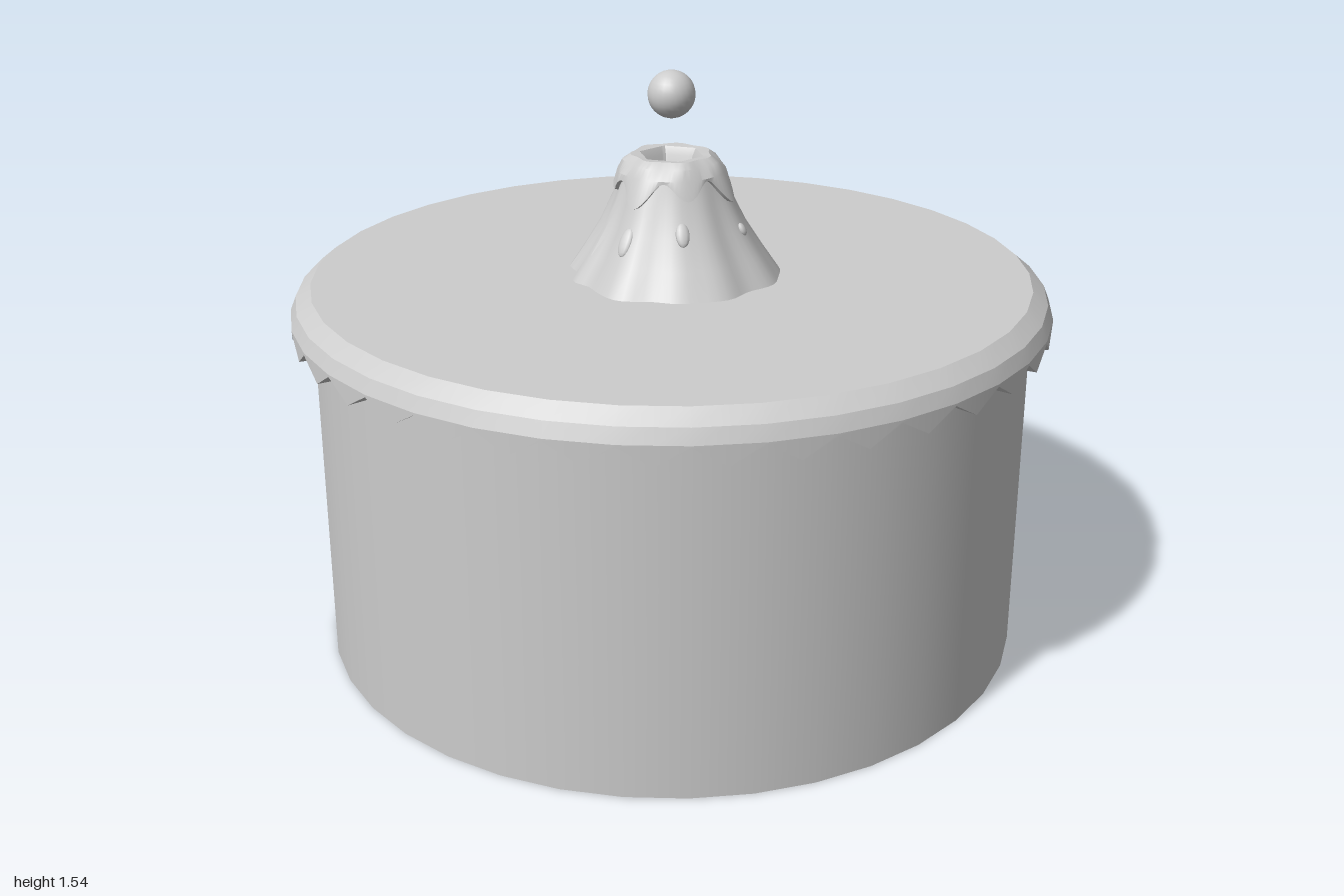
import * as THREE from 'three';
import { toCreasedNormals } from 'three/addons/utils/BufferGeometryUtils.js';

const SIDES = 38;

// Surface through stacked rings; at(a, i) gives [radius, y] at angle a (0 = front, rising towards +x)
function loft(segments, rings, at, crease) {
  const pos = [], index = [];
  for (let i = 0; i < rings; i++) {
    for (let j = 0; j < segments; j++) {
      const a = (j / segments) * Math.PI * 2;
      const [r, y] = at(a, i, j);
      pos.push(r * Math.sin(a), y, r * Math.cos(a));
    }
  }
  for (let i = 0; i < rings - 1; i++) {
    for (let j = 0; j < segments; j++) {
      const k = (j + 1) % segments;
      const p = i * segments + j, q = i * segments + k;
      index.push(p, q, q + segments, p, q + segments, p + segments);
    }
  }
  const g = new THREE.BufferGeometry();
  g.setAttribute('position', new THREE.Float32BufferAttribute(pos, 3));
  g.setIndex(index);
  return toCreasedNormals(g, crease);
}

// Linear interpolation in a list of [y, r]
function sample(profile, y) {
  for (let i = 1; i < profile.length; i++) {
    const [y0, r0] = profile[i - 1], [y1, r1] = profile[i];
    if (y <= y1) return r0 + (r1 - r0) * (y - y0) / (y1 - y0);
  }
  return profile[profile.length - 1][1];
}

const SLOPE = [[1.0, 0.288], [1.07, 0.24], [1.14, 0.195], [1.21, 0.16], [1.26, 0.138], [1.3, 0.122]];

// Cone radius with a wavy foot and deep gullies on the front-left side
function coneRadius(a, y) {
  const foot = THREE.MathUtils.clamp((1.3 - y) / 0.3, 0, 1);
  const d = Math.atan2(Math.sin(a + 0.85), Math.cos(a + 0.85));
  const gully = Math.exp(-((d / 0.55) ** 4)) * (0.5 + 0.5 * Math.cos(d * 11));
  const wave = 0.007 * Math.sin(7 * a + 1) + 0.005 * Math.sin(12 * a) - 0.006 * Math.cos(a);
  return sample(SLOPE, y) + foot * wave - 0.04 * gully * Math.min(1, foot * 1.6);
}

export function createModel() {
  const model = new THREE.Group();
  const grey = new THREE.MeshStandardMaterial({ color: 0xcccccc });
  grey.name = 'plain grey';
  const add = (name, geometry, parent = model) => {
    const mesh = new THREE.Mesh(geometry, grey);
    mesh.name = name;
    parent.add(mesh);
    return mesh;
  };

  // Round base drum
  const drum = add('drum', new THREE.CylinderGeometry(0.945, 0.945, 0.99, SIDES));
  drum.position.y = 0.495;

  // Lid with bevelled shoulder and a zigzag lower edge
  const flat = Math.cos(Math.PI / SIDES);
  const lidProfile = [[0.94, 0], [1, 0], [1, 0.935], [0.985, 0.972], [0.945, 1.005], [0, 1.005]];
  add('lid', loft(SIDES * 2, lidProfile.length, (a, i, j) => {
    const [r, y] = lidProfile[i];
    const mid = j % 2 === 1;
    return [r * (mid ? flat : 1), i < 2 ? (mid ? 0.882 : 0.929) : y];
  }, 0.3));

  // Volcano slopes
  const volcano = new THREE.Group();
  volcano.name = 'volcano';
  model.add(volcano);
  add('slopes', loft(72, SLOPE.length, (a, i) => {
    const y = SLOPE[i][0];
    return [coneRadius(a, y), y];
  }, 0.5), volcano);

  // Lava cap: dripping hem, rounded rim and faceted crater
  const hem = (a) => 1.245 - 0.026 * Math.cos(7 * a) - 0.012 * Math.cos(3 * a + 0.4);
  const rim = (a) => 1 + 0.05 * Math.cos(7 * a);
  const hex = (a) => {
    const step = Math.PI / 3;
    const d = ((a + 0.2) % step + step) % step - step / 2;
    return Math.cos(step / 2) / Math.cos(d);
  };
  add('lavaCap', loft(84, 9, (a, i) => {
    const y = hem(a);
    const low = coneRadius(a, y);
    return [
      [low - 0.004, y],
      [low + 0.01, y + 0.002],
      [coneRadius(a, 1.28) + 0.012, 1.282],
      [0.122 * rim(a), 1.308],
      [0.102 * rim(a), 1.322],
      [0.086 * hex(a), 1.32],
      [0.074 * hex(a), 1.3],
      [0.06 * hex(a), 1.23],
      [0, 1.23],
    ][i];
  }, 0.5), volcano);

  // Loose lava drops on the slopes: [angle, height, width, length]
  const drops = [
    [0.0, 1.13, 0.019, 0.04],
    [0.77, 1.155, 0.018, 0.032],
    [1.77, 1.14, 0.013, 0.018],
    [3.1, 1.145, 0.017, 0.036],
    [4.1, 1.15, 0.019, 0.03],
  ];
  for (const [a, y, w, h] of drops) {
    const drop = add('lavaDrop', new THREE.SphereGeometry(1, 12, 8), volcano);
    const r = coneRadius(a, y);
    drop.scale.set(w, h, 0.009);
    drop.position.set(r * Math.sin(a), y, r * Math.cos(a));
    drop.rotation.set(-0.55, a, 0, 'YXZ');
  }

  // Ball floating above the crater
  const ball = add('ball', new THREE.SphereGeometry(0.062, 24, 16));
  ball.position.y = 1.477;

  return model;
}
